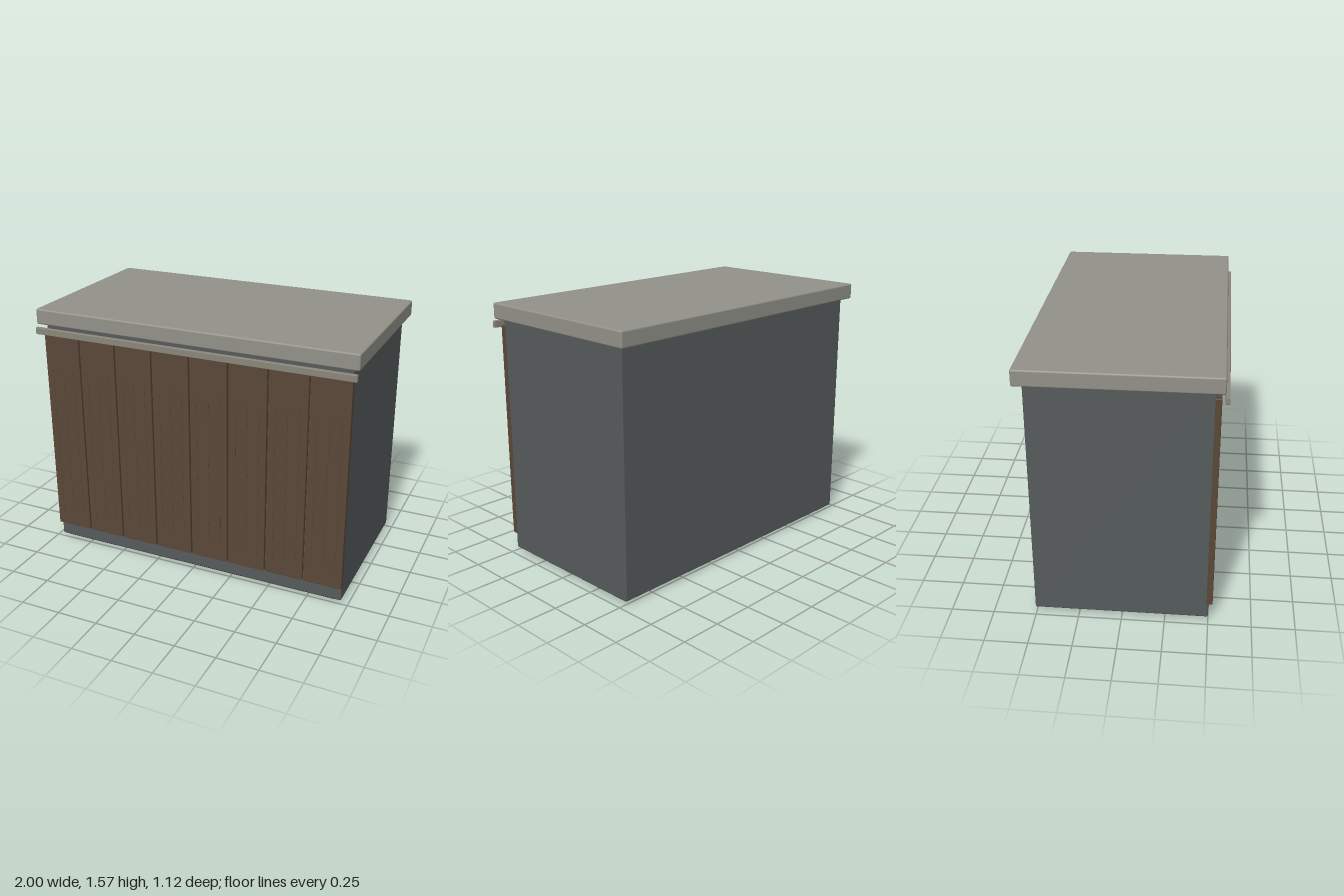
import * as THREE from 'three';
import { RoundedBoxGeometry } from 'three/addons/geometries/RoundedBoxGeometry.js';

const paint = (color) => new THREE.MeshStandardMaterial({ color });

export function createModel() {
  const group = new THREE.Group();
  const stone = paint(0x92928a), metal = paint(0x565b5c), wood = paint(0x5a4838);
  const grainWood = paint(0x54442f), trim = paint(0x8a867a), dark = paint(0x333535);

  // Box given by its min and max on each axis, with an optional edge radius
  function box(name, material, [x0, x1], [y0, y1], [z0, z1], radius = 0) {
    const size = [x1 - x0, y1 - y0, z1 - z0];
    const geometry = radius
      ? new RoundedBoxGeometry(...size, 2, radius)
      : new THREE.BoxGeometry(...size);
    const mesh = new THREE.Mesh(geometry, material);
    mesh.name = name;
    mesh.position.set((x0 + x1) / 2, (y0 + y1) / 2, (z0 + z1) / 2);
    group.add(mesh);
  }

  // Cabinet body and overhanging worktop
  box('body', metal, [-0.96, 0.96], [0.02, 1.47], [-0.51, 0.5], 0.01);
  box('worktop', stone, [-1, 1], [1.47, 1.565], [-0.56, 0.543], 0.01);

  // Rail standing off the front, under the worktop
  box('frontRail', trim, [-0.995, 0.995], [1.415, 1.455], [0.54, 0.564], 0.003);

  // Front planks, each with three fine grain strips
  const count = 8, pitch = 0.242, half = 0.1165;
  for (let i = 0; i < count; i++) {
    const x = (i - (count - 1) / 2) * pitch;
    box('plank', wood, [x - half, x + half], [0.115, 1.43], [0.489, 0.524], 0.004);
    for (const dx of [-0.073, 0, 0.073]) {
      box('grainStrip', grainWood, [x + dx - 0.002, x + dx + 0.002], [0.21, 1.2], [0.515, 0.5245]);
    }
  }

  // Base strip and the two long feet
  box('toeStrip', dark, [-0.915, 0.915], [0.011, 0.03], [0.42, 0.485], 0.004);
  for (const side of [-1, 1]) {
    const x = side * 0.8;
    box('foot', dark, [x - 0.075, x + 0.075], [0, 0.03], [-0.35, 0.34], 0.005);
  }
  return group;
}
